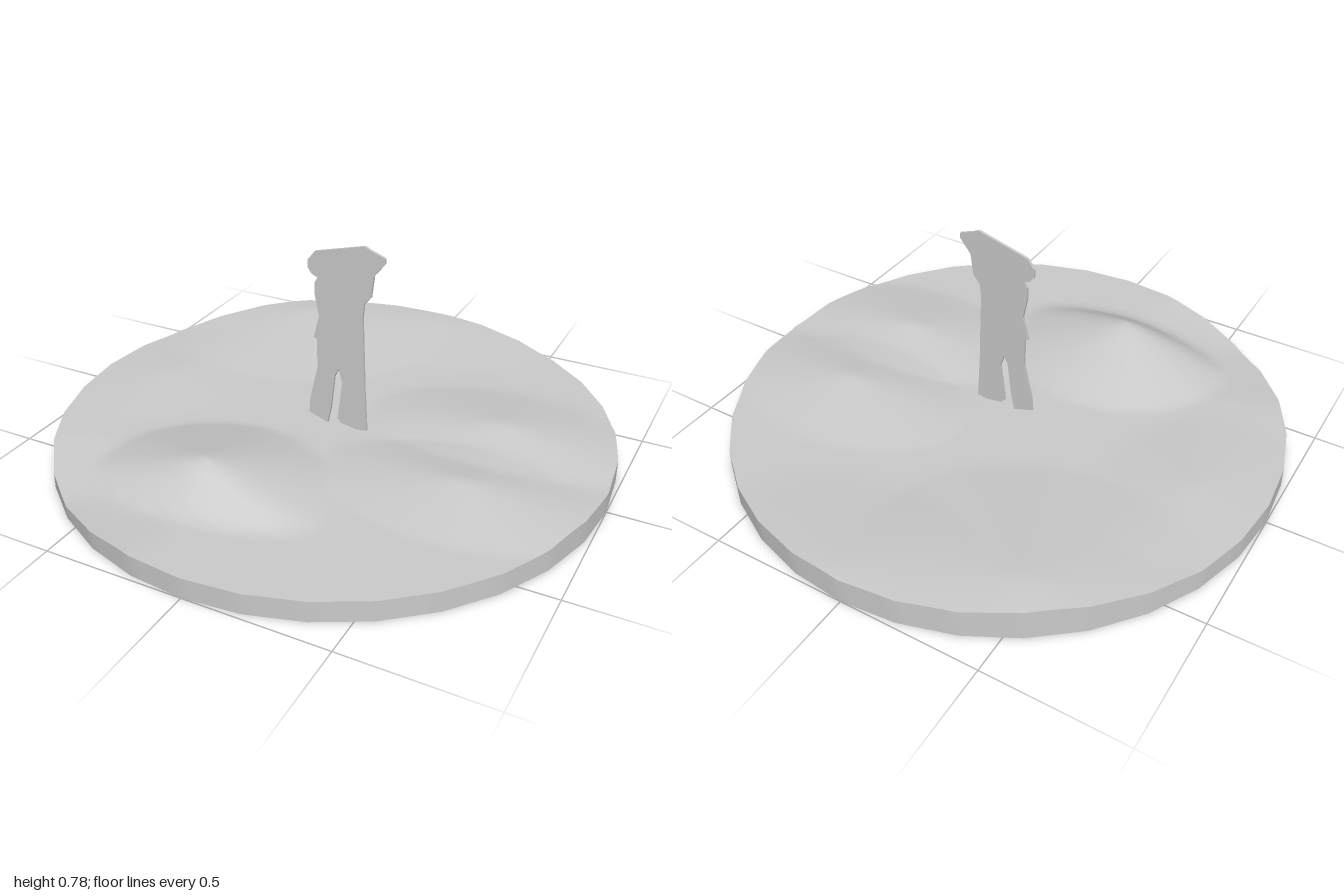
import * as THREE from 'three';

const material = new THREE.MeshStandardMaterial({ color: 0xcccccc });
const SIDES = 32, STEPS = 128, RINGS = 30;

// Each hill or dip: x, z, height, x radius, back z radius, front z radius
const BUMPS = [
  [-0.19, 0.57, 0.115, 0.43, 0.42, 0.18],
  [0.57, 0.21, 0.05, 0.5, 0.26, 0.3],
  [0.57, -0.19, 0.05, 0.5, 0.32, 0.26],
  [-0.5, -0.72, 0.05, 0.6, 0.5, 0.55],
  [0.05, -0.95, 0.025, 0.5, 0.4, 0.4],
  [-0.75, -0.05, 0.018, 0.3, 0.4, 0.4],
  [-0.58, 0.8, -0.032, 0.42, 0.35, 0.3],
];

function groundHeight(x, z) {
  let y = 0.073;
  for (const [bx, bz, h, rx, back, front] of BUMPS) {
    const dz = (z - bz) / (z < bz ? back : front);
    y += h * Math.max(0, 1 - Math.hypot((x - bx) / rx, dz));
  }
  return y;
}

// Point on the rim of the 32-sided disc
function rimPoint(step) {
  const a = (step / STEPS) * Math.PI * 2;
  const half = Math.PI / SIDES;
  const r = Math.cos(half) / Math.cos((a % (2 * half)) - half);
  return [Math.cos(a) * r, Math.sin(a) * r];
}

// Closed band of quads: rows run along the surface, columns go round the disc
function bandGeometry(rows, pointAt) {
  const positions = [], index = [];
  for (let i = 0; i <= rows; i++) {
    for (let j = 0; j < STEPS; j++) positions.push(...pointAt(i, rimPoint(j)));
  }
  for (let i = 0; i < rows; i++) {
    for (let j = 0; j < STEPS; j++) {
      const k = (j + 1) % STEPS;
      const a = i * STEPS + j, b = i * STEPS + k;
      const c = a + STEPS, d = b + STEPS;
      index.push(a, b, c, b, d, c);
    }
  }
  const geometry = new THREE.BufferGeometry();
  geometry.setAttribute('position', new THREE.Float32BufferAttribute(positions, 3));
  geometry.setIndex(index);
  geometry.computeVertexNormals();
  return geometry;
}

function addPart(group, name, geometry) {
  const mesh = new THREE.Mesh(geometry, material);
  mesh.name = name;
  group.add(mesh);
  return mesh;
}

export function createModel() {
  const model = new THREE.Group();
  model.name = 'standeeOnGround';

  // Uneven ground, built from the centre outward
  addPart(model, 'groundSurface', bandGeometry(RINGS, (i, [x, z]) => {
    const t = Math.max(i / RINGS, 0.0005);
    return [x * t, groundHeight(x * t, z * t), z * t];
  }));

  // Rim wall that follows the ground's edge
  addPart(model, 'baseRim', bandGeometry(1, (i, [x, z]) =>
    [x, i ? 0 : groundHeight(x, z), z]));

  // Flat underside
  const underside = new THREE.CircleGeometry(1, SIDES);
  underside.rotateX(Math.PI / 2);
  addPart(model, 'baseUnderside', underside);

  // Thin upright figure cutout
  const outline = [
    [0.115, 0.78], [0.135, 0.77], [0.19, 0.75], [0.19, 0.73], [0.15, 0.68],
    [0.14, 0.6], [0.115, 0.57], [0.11, 0.52], [0.12, 0.25], [0.13, 0.08],
    [0.09, 0.075], [0.03, 0.085], [0.015, 0.1], [0.022, 0.16], [0.033, 0.25],
    [0.018, 0.3], [0.003, 0.27], [-0.012, 0.14], [-0.025, 0.075],
    [-0.1, 0.1], [-0.095, 0.16], [-0.065, 0.29], [-0.067, 0.4], [-0.08, 0.405],
    [-0.058, 0.49], [-0.074, 0.57], [-0.074, 0.615], [-0.063, 0.635],
    [-0.085, 0.645], [-0.1, 0.665], [-0.1, 0.695], [-0.073, 0.73],
  ].map(([x, y]) => new THREE.Vector2(x, y));
  const figure = addPart(model, 'figureCutout', new THREE.ExtrudeGeometry(
    new THREE.Shape(outline), { depth: 0.01, bevelEnabled: false }));
  figure.position.z = 0.001;

  return model;
}
